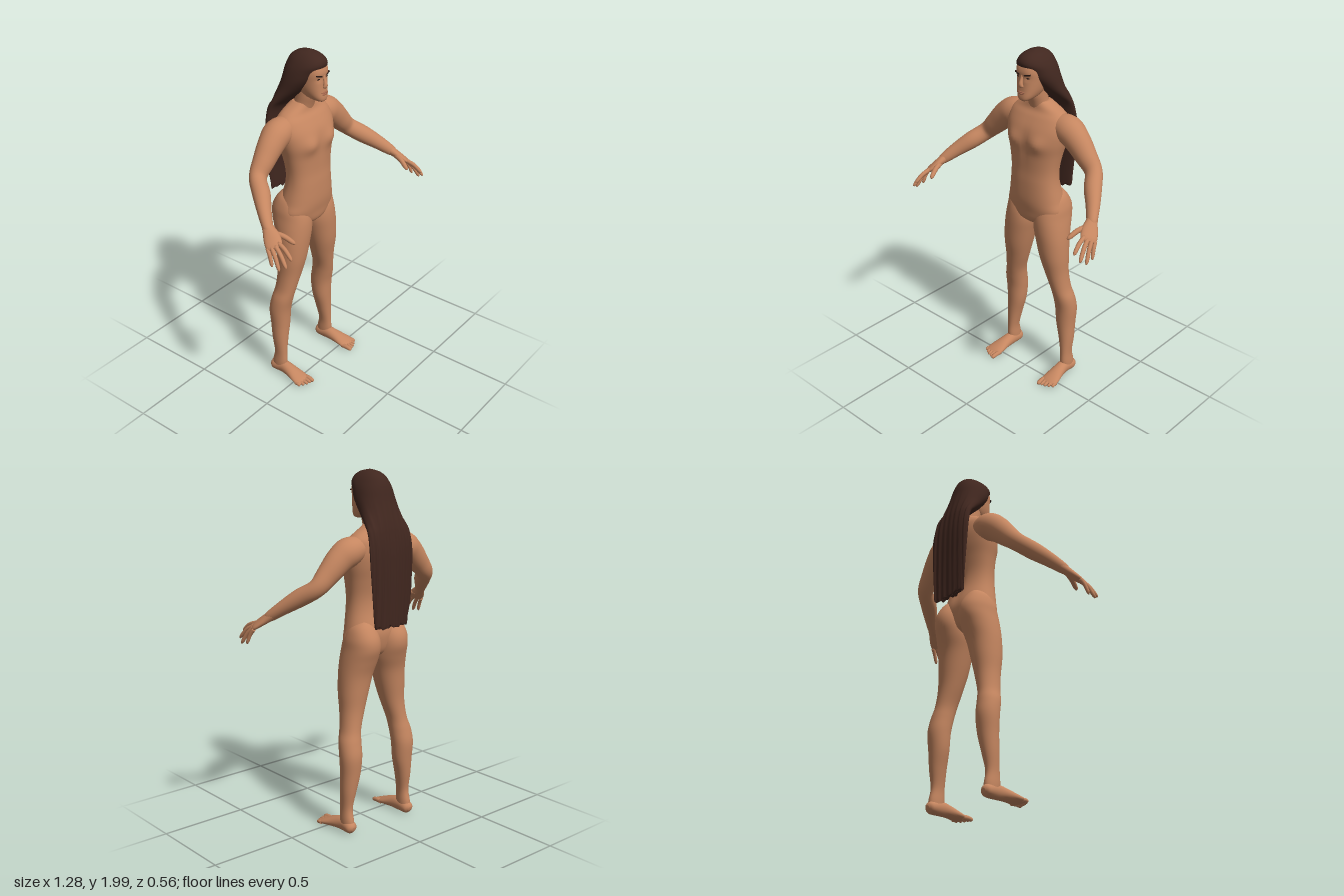
import * as THREE from 'three';

const mat = (name, color) => Object.assign(new THREE.MeshStandardMaterial({ color }), { name });
const V = (x, y, z) => new THREE.Vector3(x, y, z);

// Smoothly resample rows of numbers (uniform Catmull-Rom on every column)
function resample(rows, steps) {
  const out = [], last = rows.length - 1;
  for (let s = 0; s <= last * steps; s++) {
    const i = Math.min(Math.floor(s / steps), last - 1), t = s / steps - i;
    const p = [i - 1, i, i + 1, i + 2].map(k => rows[Math.max(0, Math.min(last, k))]);
    out.push(rows[0].map((_, c) => {
      const [a, b, d, e] = p.map(r => r[c]);
      return 0.5 * (2 * b + (d - a) * t + (2 * a - 5 * b + 4 * d - e) * t * t + (3 * b - a - 3 * d + e) * t * t * t);
    }));
  }
  return out;
}

// Closed smooth surface through rings of points, with a fan at each end
function surface(rings) {
  const n = rings[0].length, pos = [], idx = [];
  rings.forEach(r => r.forEach(p => pos.push(p.x, p.y, p.z)));
  for (let i = 0; i < rings.length - 1; i++) for (let j = 0; j < n; j++) {
    const k = (j + 1) % n, a = i * n + j, b = i * n + k, c = b + n, d = a + n;
    idx.push(a, b, c, a, c, d);
  }
  [rings[0], rings[rings.length - 1]].forEach((r, end) => {
    const m = r.reduce((s, p) => s.add(p), V(0, 0, 0)).divideScalar(n), o = end * (rings.length - 1) * n;
    const ci = pos.length / 3;
    pos.push(m.x, m.y, m.z);
    for (let j = 0; j < n; j++) {
      const k = (j + 1) % n;
      if (end) idx.push(o + j, o + k, ci); else idx.push(o + k, o + j, ci);
    }
  });
  const g = new THREE.BufferGeometry();
  g.setAttribute('position', new THREE.Float32BufferAttribute(pos, 3));
  g.setIndex(idx);
  g.computeVertexNormals();
  return g;
}

// Upright loft; rows: [y, centre x, half width, front z, back z]
function loft(rows, { power = 2, sides = 40, steps = 5, shape = () => {} } = {}) {
  const pw = v => Math.sign(v) * Math.pow(Math.abs(v), 2 / power);
  return surface(resample(rows, steps).map(([y, cx, hw, zf, zb]) => Array.from({ length: sides }, (_, j) => {
    const a = j / sides * Math.PI * 2;
    const p = V(cx + hw * pw(Math.sin(a)), y, (zf + zb) / 2 + (zf - zb) / 2 * pw(Math.cos(a)));
    shape(p, a);
    return p;
  })));
}

// Limb along a path; rows: [x, y, z, radius along side, radius across]
function limb(rows, side, sides = 20, steps = 5) {
  const s = resample(rows, steps), at = i => V(...s[Math.max(0, Math.min(s.length - 1, i))].slice(0, 3));
  return surface(s.map((r, i) => {
    const t = at(i + 1).sub(at(i - 1)).normalize();
    const u = side.clone().addScaledVector(t, -side.dot(t)).normalize(), v = t.clone().cross(u), c = at(i);
    return Array.from({ length: sides }, (_, j) => {
      const a = j / sides * Math.PI * 2;
      return c.clone().addScaledVector(u, Math.cos(a) * r[3]).addScaledVector(v, Math.sin(a) * r[4]);
    });
  }));
}

// Finger or toe from base to tip, arched by lift, with a rounded end
function digit(base, tip, r, lift, side) {
  const b = V(...base), e = V(...tip), row = (t, k) => {
    const p = b.clone().lerp(e, t);
    return [p.x, p.y + lift * Math.sin(Math.PI * t), p.z, r * k, r * k];
  };
  return limb([row(0, 1), row(0.5, 0.95), row(0.88, 0.82), row(1, 0.3)], side, 10, 4);
}

function mirrored(g) {
  const m = g.clone().scale(-1, 1, 1), ix = m.index.array;
  for (let i = 0; i < ix.length; i += 3) [ix[i], ix[i + 1]] = [ix[i + 1], ix[i]];
  m.computeVertexNormals();
  return m;
}

export function createModel() {
  const root = new THREE.Group();
  const skin = mat('skin', 0xc58660), hairMat = mat('darkBrownHair', 0x41271f);
  const dark = mat('browAndEye', 0x2a1a15), lip = mat('lip', 0xa3664c);
  const add = (name, g, m = skin) => {
    const mesh = new THREE.Mesh(g, m);
    mesh.name = name;
    root.add(mesh);
    return mesh;
  };
  const pair = (name, g, m = skin) => { add(name + 'Left', g, m); add(name + 'Right', mirrored(g), m); };
  const bump = (d, w) => Math.exp(-(d / w) * (d / w));

  // Torso with soft chest and spine shaping
  add('torso', loft([
    [0.985, 0, 0.04, -0.05, -0.14], [1.02, 0, 0.12, -0.012, -0.18], [1.08, 0, 0.182, 0, -0.2],
    [1.15, 0, 0.17, 0.01, -0.205], [1.25, 0, 0.152, 0.01, -0.18], [1.33, 0, 0.15, 0.006, -0.175],
    [1.42, 0, 0.164, 0.008, -0.19], [1.5, 0, 0.184, 0.01, -0.208], [1.57, 0, 0.194, -0.002, -0.216],
    [1.63, 0, 0.185, -0.032, -0.21], [1.665, 0, 0.15, -0.055, -0.195], [1.695, 0, 0.095, -0.062, -0.18],
    [1.715, 0, 0.06, -0.065, -0.165],
  ], {
    power: 2.3, sides: 64, shape: p => {
      const x = Math.abs(p.x);
      if (p.z > -0.07) p.z += 0.018 * bump(x - 0.085, 0.05) * bump(p.y - 1.5, 0.045) - 0.004 * bump(x, 0.02) * bump(p.y - 1.48, 0.1);
      else if (p.z < -0.13) p.z += 0.012 * bump(x, 0.03) * bump(p.y - 1.36, 0.18);
    },
  }));
  add('neck', loft([
    [1.64, 0, 0.075, -0.07, -0.19], [1.7, 0, 0.058, -0.052, -0.165], [1.75, 0, 0.055, -0.035, -0.155], [1.8, 0, 0.055, -0.03, -0.15],
  ]));

  // Legs, including the hips
  pair('leg', loft([
    [0.03, 0.215, 0.03, -0.1, -0.185], [0.08, 0.215, 0.031, -0.088, -0.183], [0.15, 0.213, 0.03, -0.09, -0.17],
    [0.25, 0.206, 0.043, -0.09, -0.185], [0.35, 0.195, 0.056, -0.088, -0.197], [0.45, 0.193, 0.063, -0.083, -0.205],
    [0.53, 0.187, 0.062, -0.068, -0.192], [0.6, 0.172, 0.057, -0.054, -0.177], [0.7, 0.15, 0.068, -0.035, -0.172],
    [0.8, 0.135, 0.083, -0.015, -0.18], [0.9, 0.12, 0.094, -0.006, -0.192], [0.98, 0.106, 0.1, -0.003, -0.216],
    [1.05, 0.1, 0.096, -0.008, -0.238], [1.11, 0.1, 0.088, -0.025, -0.234], [1.17, 0.1, 0.065, -0.06, -0.2],
    [1.21, 0.1, 0.02, -0.1, -0.16],
  ], { power: 2.15 }));

  // Feet and toes
  const across = V(1, 0, 0);
  pair('foot', limb([
    [0.216, 0.036, -0.195, 0.012, 0.012], [0.216, 0.04, -0.175, 0.034, 0.033], [0.214, 0.046, -0.11, 0.034, 0.04],
    [0.218, 0.04, -0.05, 0.04, 0.033], [0.223, 0.029, 0.005, 0.05, 0.023], [0.226, 0.022, 0.04, 0.051, 0.015],
    [0.226, 0.02, 0.058, 0.04, 0.007],
  ], across, 28));
  [0.096, 0.09, 0.084, 0.074, 0.06].forEach((z, i) => {
    const x = 0.187 + 0.0205 * i;
    pair('toe' + (i + 1), digit([x, 0.02, 0.025], [x + 0.001, 0.015, z], i ? 0.0105 : 0.014, 0.004, across));
  });

  // Arms
  pair('arm', limb([
    [0.1, 1.595, -0.125, 0.06, 0.06], [0.19, 1.583, -0.13, 0.078, 0.079], [0.255, 1.543, -0.125, 0.07, 0.074],
    [0.325, 1.475, -0.118, 0.058, 0.062], [0.39, 1.41, -0.105, 0.046, 0.05], [0.445, 1.358, -0.035, 0.047, 0.049],
    [0.5, 1.305, 0.03, 0.037, 0.04], [0.545, 1.255, 0.09, 0.028, 0.03], [0.556, 1.24, 0.108, 0.02, 0.02],
  ], V(0, 0, 1), 28));

  // Hands
  const handSide = V(-0.05, 0.02, 0.04).normalize();
  pair('palm', limb([
    [0.535, 1.267, 0.07, 0.026, 0.026], [0.548, 1.25, 0.096, 0.032, 0.025], [0.566, 1.225, 0.132, 0.043, 0.021],
    [0.588, 1.198, 0.165, 0.044, 0.016], [0.598, 1.187, 0.18, 0.03, 0.008],
  ], handSide));
  [
    ['thumb', [0.545, 1.235, 0.12], [0.505, 1.19, 0.235], 0.015],
    ['indexFinger', [0.57, 1.207, 0.18], [0.588, 1.15, 0.28], 0.0125],
    ['middleFinger', [0.588, 1.197, 0.175], [0.62, 1.115, 0.27], 0.0125],
    ['ringFinger', [0.603, 1.19, 0.162], [0.634, 1.093, 0.236], 0.012],
    ['littleFinger', [0.614, 1.184, 0.145], [0.632, 1.1, 0.188], 0.011],
  ].forEach(([name, a, b, r]) => pair(name, digit(a, b, r, 0.012, handSide)));

  // Head, with shallow eye sockets
  add('head', loft([
    [1.737, 0, 0.015, 0.022, -0.005], [1.746, 0, 0.034, 0.031, -0.05], [1.765, 0, 0.05, 0.033, -0.1],
    [1.8, 0, 0.064, 0.029, -0.15], [1.85, 0, 0.073, 0.026, -0.18], [1.9, 0, 0.076, 0.028, -0.185],
    [1.94, 0, 0.068, 0.012, -0.17], [1.975, 0, 0.035, -0.03, -0.13],
  ], {
    power: 2.6, sides: 56, shape: p => {
      if (p.z > -0.03) p.z -= 0.007 * bump(Math.abs(p.x) - 0.03, 0.018) * bump(p.y - 1.868, 0.012);
    },
  }));
  add('nose', limb([
    [0, 1.885, 0.022, 0.007, 0.006], [0, 1.86, 0.028, 0.008, 0.008], [0, 1.836, 0.034, 0.012, 0.011],
    [0, 1.822, 0.032, 0.016, 0.01], [0, 1.816, 0.026, 0.008, 0.004],
  ], across, 16));
  const blob = (name, x, y, z, sx, sy, sz, m) => {
    const mesh = add(name, new THREE.SphereGeometry(1, 20, 12), m);
    mesh.position.set(x, y, z);
    mesh.scale.set(sx, sy, sz);
  };
  blob('upperLip', 0, 1.789, 0.029, 0.024, 0.004, 0.007, lip);
  blob('lowerLip', 0, 1.78, 0.029, 0.02, 0.005, 0.007, lip);
  for (const s of [1, -1]) {
    const side = s > 0 ? 'Left' : 'Right';
    blob('eye' + side, s * 0.031, 1.867, 0.014, 0.012, 0.004, 0.006, dark);
    const brow = add('brow' + side, new THREE.BoxGeometry(0.036, 0.007, 0.009), dark);
    brow.position.set(s * 0.034, 1.886, 0.021);
    brow.rotation.set(0, s * 0.25, s * 0.2);
  }

  // Long hair: a cap over the head that narrows to a curtain down the back
  add('longHair', loft([
    [1.175, 0, 0.11, -0.232, -0.262], [1.2, 0, 0.12, -0.23, -0.264], [1.35, 0, 0.135, -0.227, -0.268],
    [1.5, 0, 0.146, -0.218, -0.27], [1.6, 0, 0.148, -0.208, -0.267], [1.68, 0, 0.142, -0.185, -0.258],
    [1.73, 0, 0.132, -0.135, -0.248], [1.79, 0, 0.12, -0.07, -0.232], [1.85, 0, 0.112, -0.018, -0.216],
    [1.9, 0, 0.101, 0.008, -0.205], [1.935, 0, 0.087, 0.026, -0.193], [1.965, 0, 0.067, 0.016, -0.175],
    [1.988, 0, 0.04, -0.018, -0.14], [2, 0, 0.008, -0.07, -0.09],
  ], {
    power: 2.2, sides: 96, shape: (p, a) => {
      const low = THREE.MathUtils.smoothstep(1.9 - p.y, 0, 0.3), x = p.x / 0.15;
      // Locks: vertical ripples, curled-back edges and an uneven hem
      p.z += low * (-0.012 * x * x + (Math.cos(a) < 0 ? 0.004 * Math.sin(p.x * 150) + 0.002 * Math.sin(p.x * 310 + 1) : 0));
      if (p.y < 1.22) p.y += 0.012 * Math.sin(p.x * 120) * Math.sin(p.x * 47 + 1);
    },
  }), hairMat);

  return root;
}
